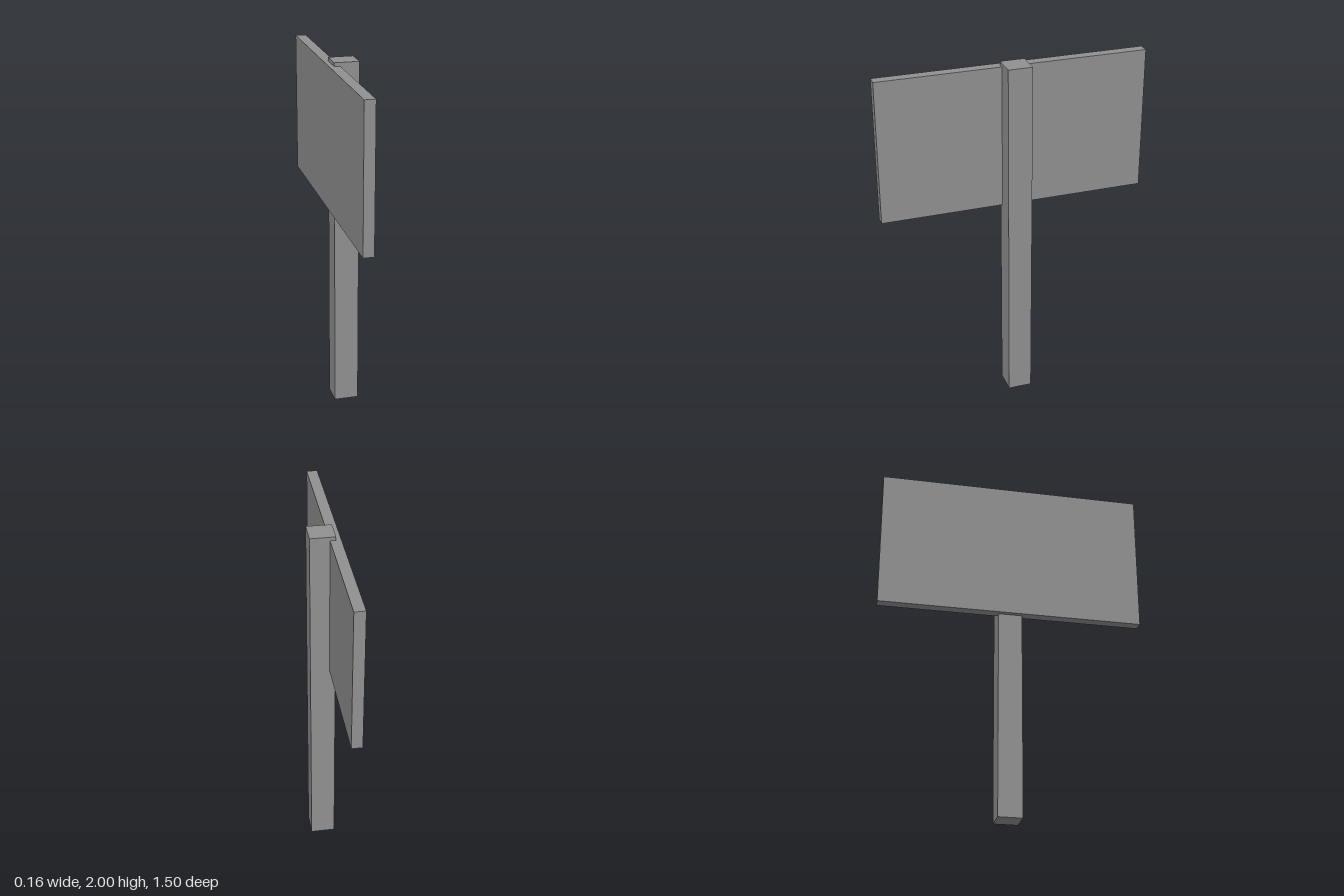
import * as THREE from 'three';

export function createModel() {
  const model = new THREE.Group();
  model.name = 'signpost';

  const grey = new THREE.MeshStandardMaterial({ color: 0x909090 });
  grey.name = 'plain grey';

  // Box given by its minimum and maximum corners
  function addBox(name, min, max) {
    const size = max.map((v, i) => v - min[i]);
    const mesh = new THREE.Mesh(new THREE.BoxGeometry(...size), grey);
    mesh.name = name;
    mesh.position.set(...max.map((v, i) => (v + min[i]) / 2));
    model.add(mesh);
  }

  // Square upright post
  addBox('post', [-0.055, 0, -0.0675], [0.082, 2, 0.0675]);

  // Sign board, let into the right side of the post
  addBox('signBoard', [-0.082, 1.175, -0.75], [-0.023, 1.98, 0.75]);

  return model;
}
